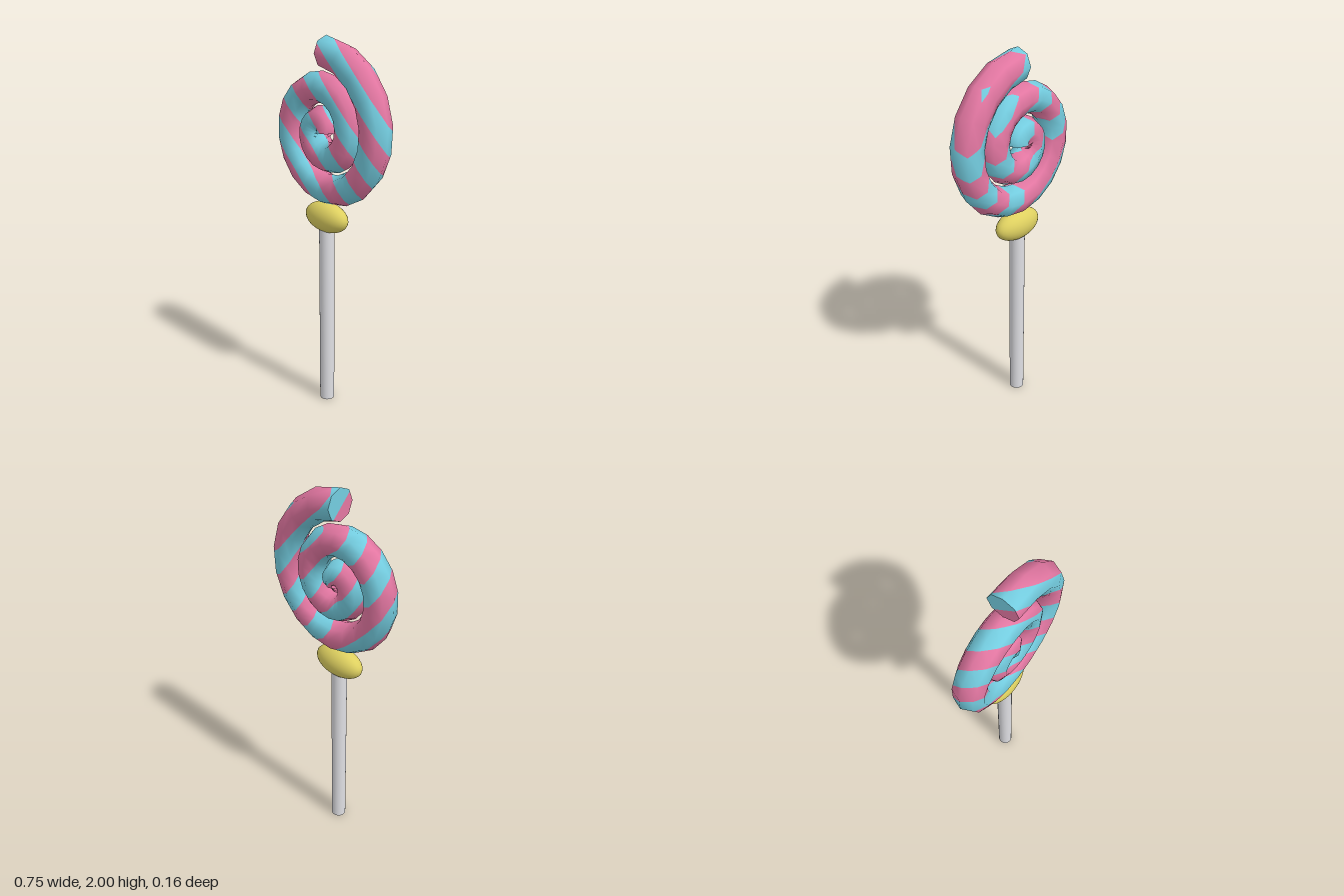
import * as THREE from 'three';

const pink = new THREE.MeshStandardMaterial({ name: 'candy pink', color: 0xe377a2 });
const blue = new THREE.MeshStandardMaterial({ name: 'candy blue', color: 0x74cde0 });
const yellow = new THREE.MeshStandardMaterial({ name: 'bead yellow', color: 0xded060 });
const white = new THREE.MeshStandardMaterial({ name: 'stick white', color: 0xdfdfe3 });

const CX = -0.04, CY = 1.5375;                  // centre of the spiral
const TURNS = 2.25, PITCH = 0.17, TUBE = 0.08;  // spiral and rope size
const STEPS = 41, SIDES = 8;
const STRIPE = 0.136, STRIPE_START = 2.0;       // diagonal stripe spacing

// rope corner as [x, y, z, nx, ny, nz]
function ropePoint(i, j) {
  const turn = TURNS * i / STEPS, a = turn * Math.PI * 2, p = j / SIDES * Math.PI * 2;
  const c = Math.cos(p), s = Math.sin(p), r = PITCH * turn + TUBE * c;
  return [CX + r * Math.cos(a), CY + r * Math.sin(a), TUBE * s, c * Math.cos(a), c * Math.sin(a), s];
}

// stripe number at a point; whole numbers are the borders between colours
const phase = (p) => (p[0] + p[1] - p[2] - STRIPE_START) / STRIPE;

// keep the part of a polygon where sign * (phase - limit) >= 0
function clip(poly, limit, sign) {
  const out = [];
  poly.forEach((a, i) => {
    const b = poly[(i + 1) % poly.length];
    const da = sign * (phase(a) - limit), db = sign * (phase(b) - limit);
    if (da >= 0) out.push(a);
    if ((da > 0 && db < 0) || (da < 0 && db > 0)) {
      const t = da / (da - db);
      out.push(a.map((v, k) => v + (b[k] - v) * t));
    }
  });
  return out;
}

// cut a triangle along the stripe borders and sort the pieces by colour
function addTriangle(buckets, tri) {
  const f = tri.map(phase);
  for (let k = Math.floor(Math.min(...f)); k <= Math.floor(Math.max(...f)); k++) {
    const poly = clip(clip(tri, k, 1), k + 1, -1);
    for (let n = 1; n + 1 < poly.length; n++) {
      buckets[Math.abs(k) % 2].push(poly[0], poly[n], poly[n + 1]);
    }
  }
}

function buildRope() {
  const buckets = [[], []];
  // rope surface
  for (let i = 0; i < STEPS; i++) {
    for (let j = 0; j < SIDES; j++) {
      const a = ropePoint(i, j), b = ropePoint(i + 1, j);
      const c = ropePoint(i + 1, j + 1), d = ropePoint(i, j + 1);
      addTriangle(buckets, [a, b, c]);
      addTriangle(buckets, [a, c, d]);
    }
  }
  // flat end caps
  for (const [i, dir] of [[0, -1], [STEPS, 1]]) {
    const turn = TURNS * i / STEPS, a = turn * Math.PI * 2;
    const normal = [-Math.sin(a) * dir, Math.cos(a) * dir, 0];
    const hub = [CX + PITCH * turn * Math.cos(a), CY + PITCH * turn * Math.sin(a), 0, ...normal];
    for (let j = 0; j < SIDES; j++) {
      const p = [...ropePoint(i, j).slice(0, 3), ...normal];
      const q = [...ropePoint(i, j + 1).slice(0, 3), ...normal];
      addTriangle(buckets, dir < 0 ? [hub, p, q] : [hub, q, p]);
    }
  }
  const rope = new THREE.Group();
  rope.name = 'candySpiral';
  buckets.forEach((verts, n) => {
    const g = new THREE.BufferGeometry();
    g.setAttribute('position', new THREE.Float32BufferAttribute(verts.flatMap((v) => v.slice(0, 3)), 3));
    g.setAttribute('normal', new THREE.Float32BufferAttribute(verts.flatMap((v) => v.slice(3)), 3));
    const mesh = new THREE.Mesh(g, n ? blue : pink);
    mesh.name = n ? 'blueStripes' : 'pinkStripes';
    rope.add(mesh);
  });
  return rope;
}

export function createModel() {
  const model = new THREE.Group();
  model.name = 'lollipop';
  model.add(buildRope());

  // flattened bead between stick and candy
  const bead = new THREE.Mesh(new THREE.SphereGeometry(1, 32, 20), yellow);
  bead.name = 'bead';
  bead.scale.set(0.145, 0.08, 0.07);
  bead.position.set(CX, 1.085, 0);
  model.add(bead);

  // stick
  const stick = new THREE.Mesh(new THREE.CylinderGeometry(0.04, 0.04, 1.08, 24), white);
  stick.name = 'stick';
  stick.position.set(CX, 0.54, 0);
  model.add(stick);

  return model;
}
